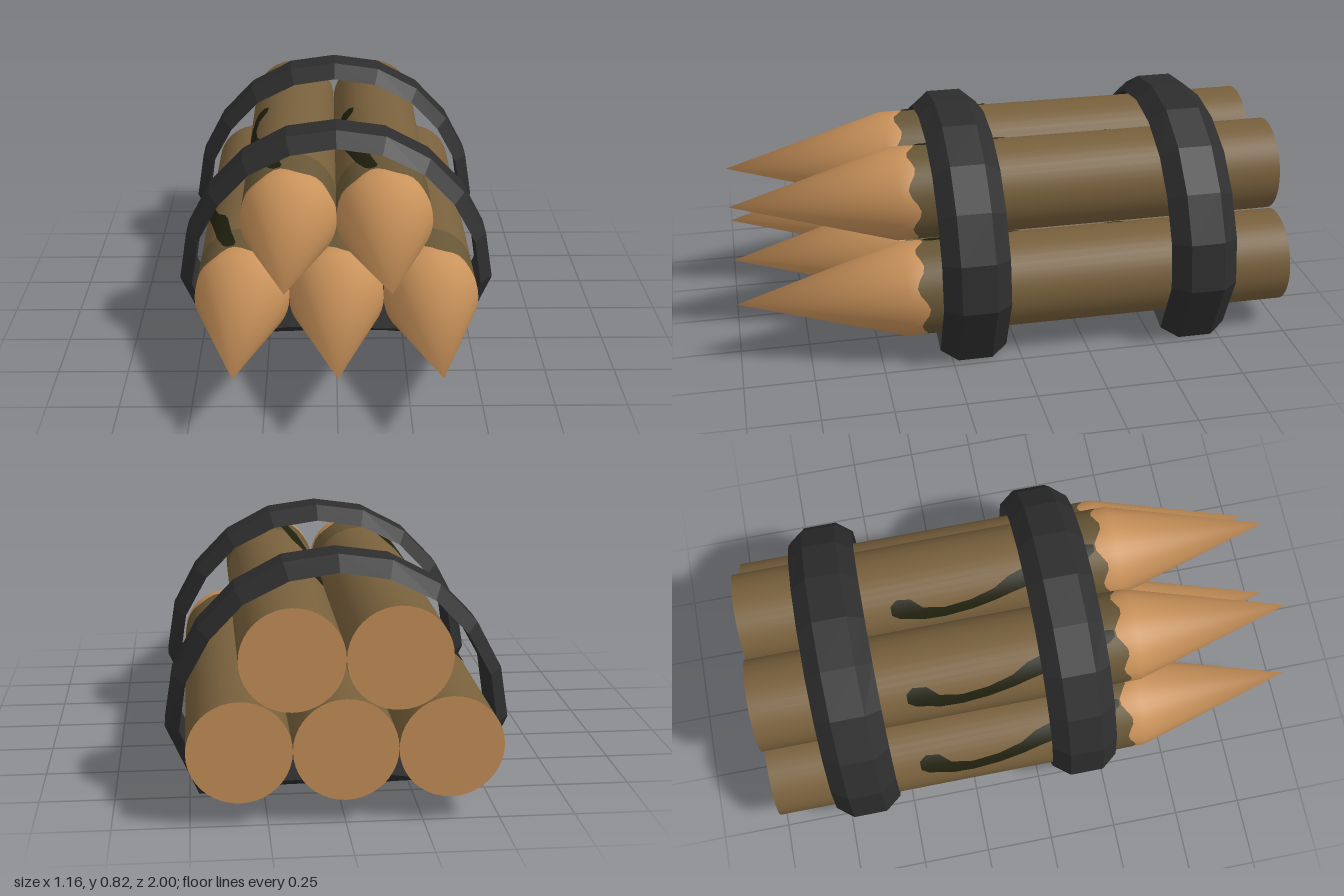
import * as THREE from 'three';

const R = 0.17, SEG = 40;
const LOGS = [[-0.34, 0.25], [0, 0.25], [0.34, 0.25], [-0.17, 0.55], [0.17, 0.55]];

const material = (name, color) => {
  const m = new THREE.MeshStandardMaterial({ color });
  m.name = name;
  return m;
};

// Wavy line where the bark stops, as a function of the angle round the log
const barkEdge = (phi) => 0.353 + 0.016 * Math.sin(7 * phi) + 0.008 * Math.sin(3 * phi + 1);

// Turned surface along z; vertices of the ring "wavy" follow the bark edge
function turned(profile, wavy = -1) {
  const geo = new THREE.LatheGeometry(profile.map(([r, z]) => new THREE.Vector2(r, z)), SEG);
  const pos = geo.attributes.position, normal = geo.attributes.normal, n = profile.length;
  for (let i = 0; i <= SEG; i++) {
    for (let j = 0; j < n; j++) {
      const k = i * n + j;
      if (j === wavy) pos.setY(k, barkEdge((i % SEG) / SEG * Math.PI * 2));
      // Rounded shading at the very tip
      if (profile[j][0] === 0) normal.setXYZ(k, 0, 1, 0);
    }
  }
  return geo.rotateX(Math.PI / 2);
}

// Long moss streak: z, start and end angle in degrees from the top towards -x
const STREAK = [
  [-0.445, 40, 52], [-0.42, 33, 58], [-0.37, 35, 62], [-0.33, 48, 66], [-0.25, 53, 67], [-0.15, 49, 63],
  [-0.06, 40, 56], [0, 28, 50], [0.05, 23, 46], [0.2, 15, 35], [0.3, 8, 24], [0.325, 10, 18],
];

function streakGeometry() {
  const cols = 4, pos = [], nor = [], idx = [];
  STREAK.forEach(([z, a0, a1], i) => {
    for (let c = 0; c <= cols; c++) {
      const a = THREE.MathUtils.degToRad(a0 + (a1 - a0) * c / cols);
      const x = -Math.sin(a), y = Math.cos(a);
      pos.push(x * (R + 0.003), y * (R + 0.003), z);
      nor.push(x, y, 0);
      if (i && c) {
        const d = i * (cols + 1) + c, b = d - cols - 1;
        idx.push(b - 1, d - 1, d, b - 1, d, b);
      }
    }
  });
  const geo = new THREE.BufferGeometry();
  geo.setAttribute('position', new THREE.Float32BufferAttribute(pos, 3));
  geo.setAttribute('normal', new THREE.Float32BufferAttribute(nor, 3));
  geo.setIndex(idx);
  return geo;
}

// Strap outline: outer x, outer y, inner x, inner y
const SIDE = [
  [0.18, 0.80, 0.165, 0.75], [0.34, 0.715, 0.315, 0.675], [0.465, 0.585, 0.425, 0.56],
  [0.55, 0.425, 0.505, 0.415], [0.578, 0.25, 0.53, 0.25],
];
const UNDER = [
  [0.468, 0.003, 0.43, 0.03], [0.32, 0.016, 0.32, 0.06], [0.18, 0.027, 0.17, 0.065],
  [0, 0.03, 0, 0.068], [-0.17, 0.025, -0.17, 0.073], [-0.345, 0.03, -0.345, 0.05],
  [-0.475, 0.025, -0.43, 0.04],
];

// Flat-faced strap with bevelled edges, swept round the outline
function strapGeometry() {
  const left = SIDE.map(([a, b, c, d]) => [-a, b, -c, d]).reverse();
  const loop = [[0, 0.825, 0, 0.775], ...SIDE, ...UNDER, ...left];
  const rings = loop.map(([ox, oy, ix, iy]) => [
    [ix, iy, -0.122], [ox, oy, -0.062], [ox, oy, 0.062], [ix, iy, 0.122],
  ]);
  const pos = [];
  rings.forEach((p, i) => {
    const q = rings[(i + 1) % rings.length];
    for (let j = 0; j < 4; j++) {
      const k = (j + 1) % 4;
      pos.push(...p[j], ...p[k], ...q[k], ...p[j], ...q[k], ...q[j]);
    }
  });
  const geo = new THREE.BufferGeometry();
  geo.setAttribute('position', new THREE.Float32BufferAttribute(pos, 3));
  geo.computeVertexNormals();
  return geo;
}

export function createModel() {
  const model = new THREE.Group();
  model.name = 'logBundle';

  const bark = material('bark', 0x78603c);
  const darkBark = material('dark bark', 0x675636);
  const wood = material('cut wood', 0xc9925a);
  const moss = material('moss', 0x20200e);
  moss.side = THREE.DoubleSide;
  const iron = material('black strap', 0x2d2d2e);

  const parts = [
    ['bark', turned([[R, -1], [R, 0.17]]), bark],
    ['barkFringe', turned([[R, 0.17], [R, 0.35]], 1), darkBark],
    ['sharpenedTip', turned([[R, 0.35], [R, 0.41], [0, 1]], 0), wood],
    ['cutEnd', new THREE.CircleGeometry(R, SEG).rotateY(Math.PI).translate(0, 0, -1), wood],
    ['mossStreak', streakGeometry(), moss],
  ];

  // Five sharpened logs, three below and two above
  for (const [x, y] of LOGS) {
    const log = new THREE.Group();
    log.name = 'log';
    log.position.set(x, y, 0);
    for (const [name, geo, mat] of parts) {
      const mesh = new THREE.Mesh(geo, mat);
      mesh.name = name;
      log.add(mesh);
    }
    model.add(log);
  }

  // Front and back straps
  const strap = strapGeometry();
  for (const [name, z] of [['frontStrap', 0.168], ['backStrap', -0.663]]) {
    const mesh = new THREE.Mesh(strap, iron);
    mesh.name = name;
    mesh.position.z = z;
    model.add(mesh);
  }
  return model;
}
